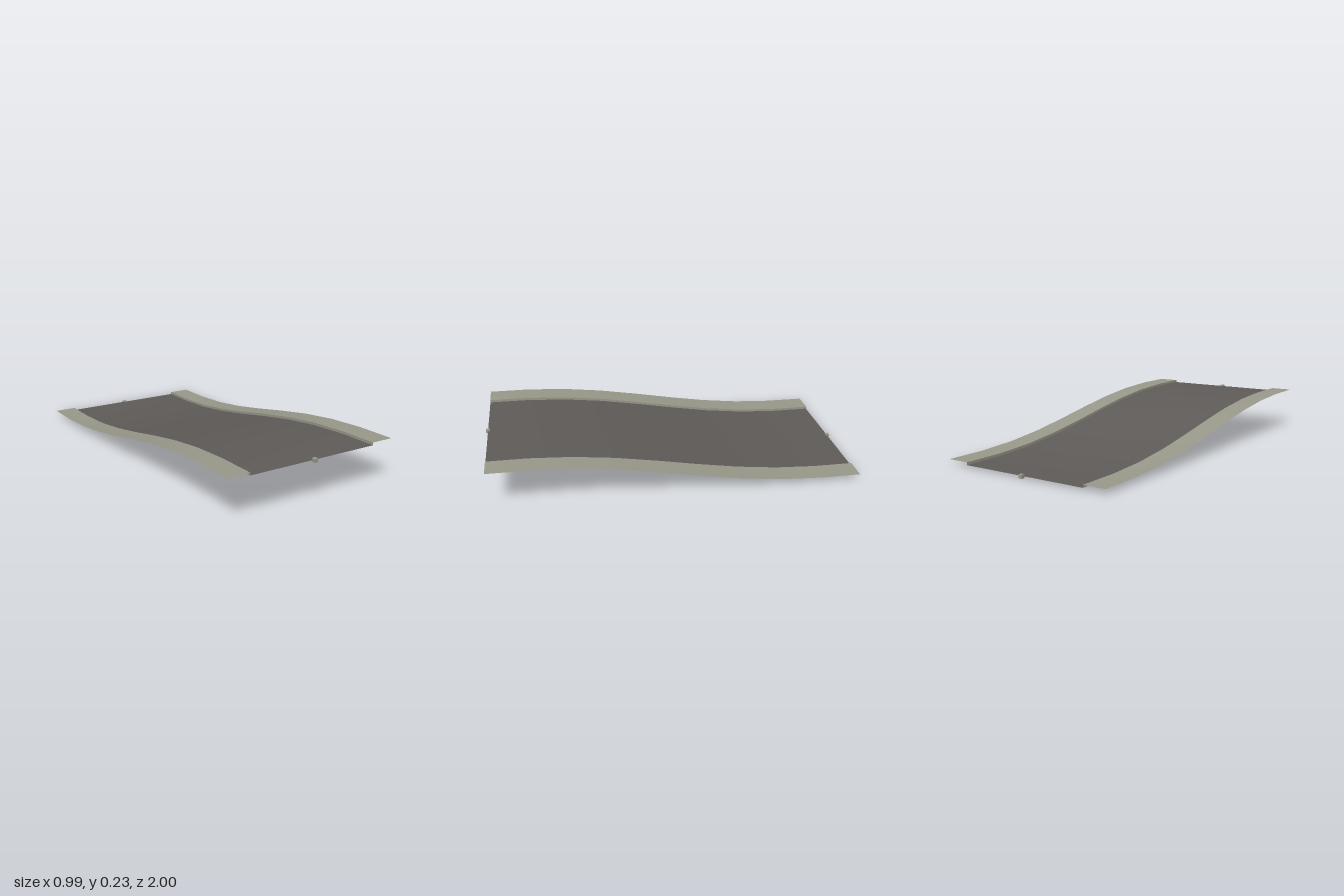
import * as THREE from 'three';

const HALF_LENGTH = 0.99, HALF_ROAD = 0.37, HALF_WIDTH = 0.495;
const LOW = 0.012, RISE = 0.206, KERB = 0.014, SEGMENTS = 9;

// Height of the carriageway: level at both ends, climbing towards +z
function roadHeight(z) {
  return LOW + RISE * THREE.MathUtils.smootherstep(z, -HALF_LENGTH, HALF_LENGTH);
}

// Sheet swept along the slope between two (x, lift) points, listed left to right
function strip([x0, lift0], [x1, lift1]) {
  const geometry = new THREE.PlaneGeometry(1, 2 * HALF_LENGTH, 1, SEGMENTS);
  geometry.rotateX(-Math.PI / 2);
  const p = geometry.attributes.position;
  for (let i = 0; i < p.count; i++) {
    const t = p.getX(i) + 0.5, z = p.getZ(i);
    p.setXYZ(i, x0 + (x1 - x0) * t, roadHeight(z) + lift0 + (lift1 - lift0) * t, z);
  }
  geometry.computeVertexNormals();
  return geometry;
}

export function createModel() {
  const asphalt = new THREE.MeshStandardMaterial({ color: 0x5f5b58, side: THREE.DoubleSide });
  asphalt.name = 'asphalt';
  const concrete = new THREE.MeshStandardMaterial({ color: 0x98988a, side: THREE.DoubleSide });
  concrete.name = 'concrete';

  const model = new THREE.Group();
  model.name = 'slopedRoad';
  const add = (name, geometry, material) => {
    const mesh = new THREE.Mesh(geometry, material);
    mesh.name = name;
    model.add(mesh);
    return mesh;
  };

  // Carriageway
  add('roadSurface', strip([-HALF_ROAD, 0], [HALF_ROAD, 0]), asphalt);

  // Raised pavements with an upright kerb face
  add('leftPavement', strip([HALF_ROAD, KERB], [HALF_WIDTH, KERB]), concrete);
  add('leftKerb', strip([HALF_ROAD, 0], [HALF_ROAD, KERB]), concrete);
  add('rightPavement', strip([-HALF_WIDTH, KERB], [-HALF_ROAD, KERB]), concrete);
  add('rightKerb', strip([-HALF_ROAD, KERB], [-HALF_ROAD, 0]), concrete);

  // Small connector block in the middle of each end
  for (const [name, side] of [['frontConnector', 1], ['backConnector', -1]]) {
    const z = side * HALF_LENGTH;
    add(name, new THREE.BoxGeometry(0.02, 0.02, 0.02), concrete)
      .position.set(0, roadHeight(z) - 0.002, z);
  }
  return model;
}
